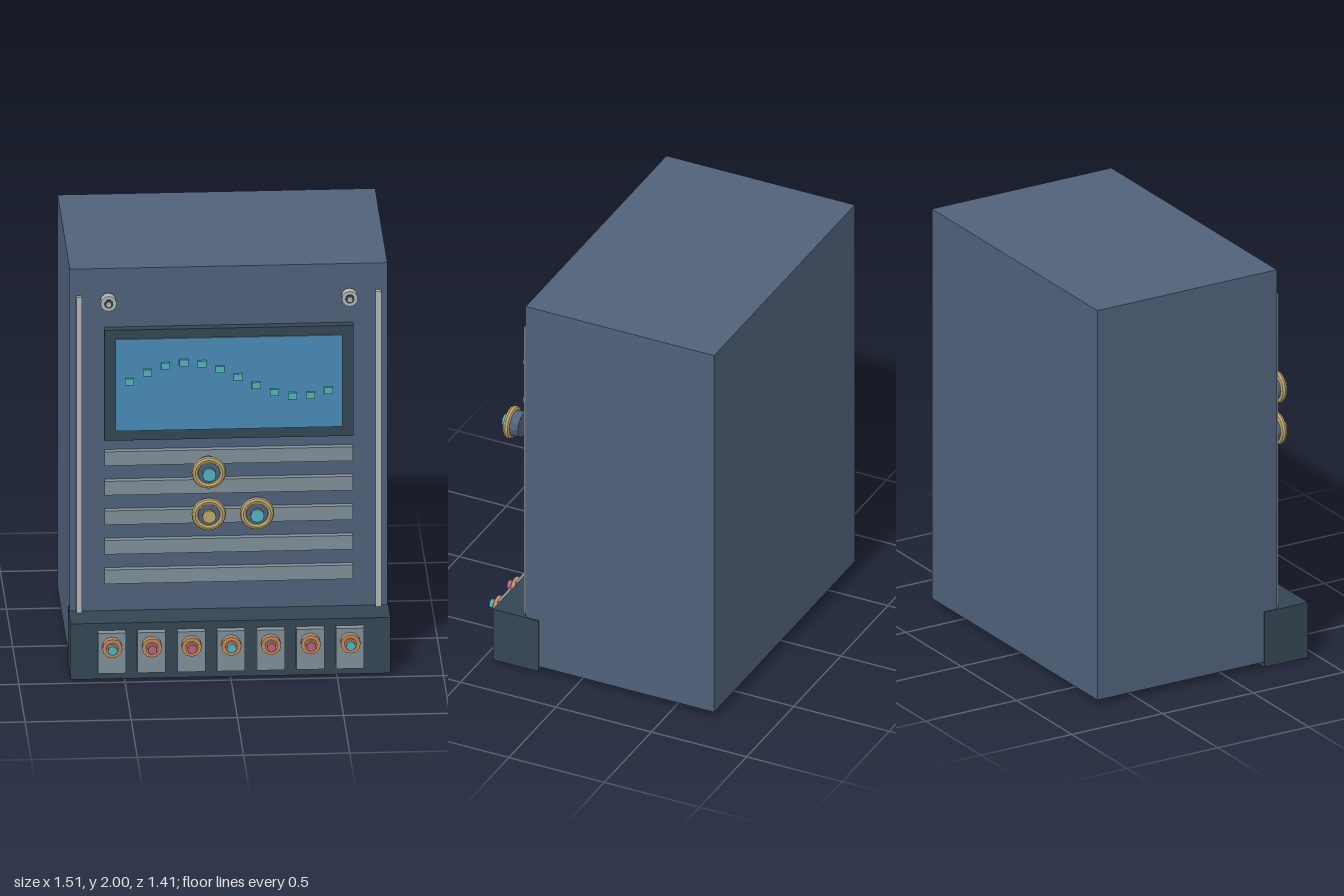
import * as THREE from 'three';

const mat = (name, color, flatShading = false) => {
  const m = new THREE.MeshStandardMaterial({ color, flatShading });
  m.name = name;
  return m;
};

export function createModel() {
  const root = new THREE.Group();
  root.name = 'controlCabinet';

  const slate = mat('slate', 0x50617a, true);
  const dark = mat('darkSlate', 0x344652, true);
  const steel = mat('steel', 0x7f8e98, true);
  const silver = mat('silver', 0xb4b7b6, true);
  const blue = mat('screenBlue', 0x488ab4, true);
  const teal = mat('teal', 0x52b4be, true);
  const rose = mat('rose', 0xb9627a, true);
  const brass = mat('brass', 0xbda66c, true);
  const copper = mat('copper', 0xbf8a60, true);

  // Box given by its min and max corners
  const box = (name, m, x0, x1, y0, y1, z0, z1, parent = root) => {
    const mesh = new THREE.Mesh(new THREE.BoxGeometry(x1 - x0, y1 - y0, z1 - z0), m);
    mesh.position.set((x0 + x1) / 2, (y0 + y1) / 2, (z0 + z1) / 2);
    mesh.name = name;
    parent.add(mesh);
    return mesh;
  };
  // Cylinder lying along z
  const disc = (name, m, r, z0, z1, parent, sides = 12) => {
    const g = new THREE.CylinderGeometry(r, r, z1 - z0, sides).rotateX(Math.PI / 2);
    const mesh = new THREE.Mesh(g, m);
    mesh.position.z = (z0 + z1) / 2;
    mesh.name = name;
    parent.add(mesh);
    return mesh;
  };
  const groupAt = (name, x, y) => {
    const g = new THREE.Group();
    g.name = name;
    g.position.set(x, y, 0);
    root.add(g);
    return g;
  };

  // Cabinet body and front plinth
  box('cabinet', slate, -0.748, 0.748, 0.025, 2, -0.705, 0.283);
  box('plinth', dark, -0.753, 0.753, 0, 0.28, 0.213, 0.452);

  // Side trim strips and bolts
  for (const s of [-1, 1]) {
    box('trimStrip', silver, s * 0.705 - 0.013, s * 0.705 + 0.013, 0.27, 1.865, 0.283, 0.307);
    const bolt = groupAt('bolt', s * 0.568, 1.845);
    disc('boltHead', silver, 0.038, 0.3, 0.346, bolt);
    disc('boltRecess', dark, 0.022, 0.346, 0.35, bolt);
    disc('boltPin', silver, 0.014, 0.283, 0.36, bolt, 8);
  }

  // Screen with its frame and a dotted wave
  box('screenFrame', dark, -0.587, 0.587, 1.15, 1.705, 0.283, 0.327);
  box('screen', blue, -0.535, 0.535, 1.2, 1.66, 0.327, 0.334);
  for (let i = 0; i < 12; i++) {
    const x = -0.47 + i * 0.0853;
    const y = 1.45 + 0.09 * Math.sin(i * 0.5);
    box('waveDot', teal, x - 0.021, x + 0.021, y - 0.016, y + 0.016, 0.334, 0.348);
  }

  // Louvre bars
  for (let i = 0; i < 5; i++) {
    const y = 1.055 - i * 0.1485;
    box('louvre', steel, -0.585, 0.585, y - 0.035, y + 0.035, 0.283, 0.316);
  }

  // Knobs standing off the front
  for (const [x, y, cap] of [[-0.115, 1.11, teal], [-0.115, 0.9, brass], [0.112, 0.9, teal]]) {
    const knob = groupAt('knob', x, y);
    disc('knobBody', slate, 0.063, 0.608, 0.672, knob);
    const ring = new THREE.Mesh(new THREE.TorusGeometry(0.065, 0.016, 8, 24), brass);
    ring.position.z = 0.667;
    ring.name = 'knobRing';
    knob.add(ring);
    disc('knobCap', cap, 0.032, 0.69, 0.707, knob);
  }

  // Row of button panels on the plinth
  const caps = [teal, rose, rose, teal, rose, rose, teal];
  caps.forEach((cap, i) => {
    const button = groupAt('buttonPanel', (i - 3) * 0.187, 0.178);
    box('panelPlate', steel, -0.066, 0.066, -0.136, 0.066, 0.452, 0.492, button);
    disc('buttonCollar', copper, 0.047, 0.492, 0.525, button);
    disc('buttonBoss', copper, 0.03, 0.525, 0.536, button);
    disc('buttonCap', cap, 0.022, 0.536, 0.556, button);
  });

  return root;
}
